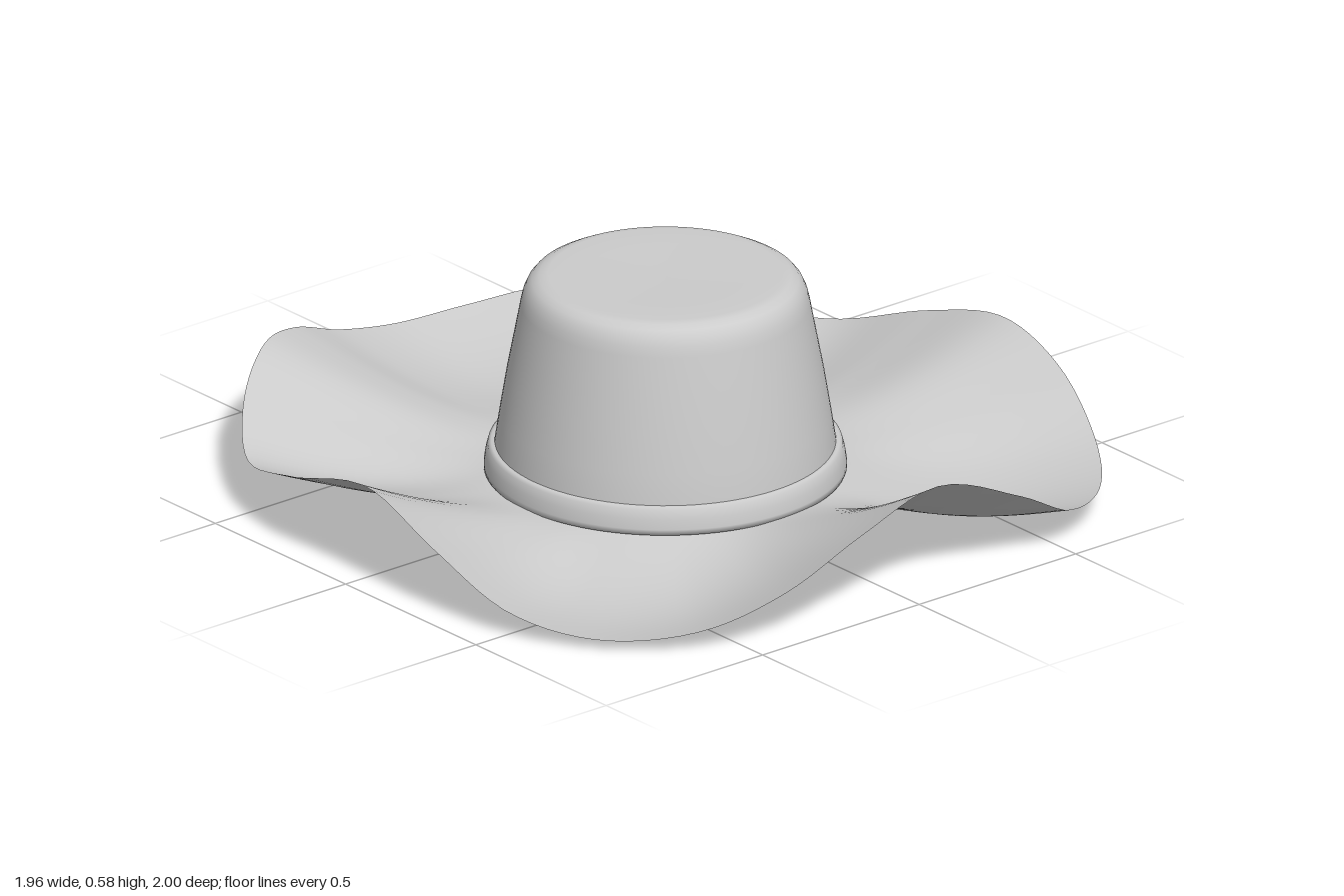
import * as THREE from 'three';

const CX = -0.025, CZ = 0.056; // crown axis

const material = () => new THREE.MeshStandardMaterial({ color: 0xcccccc, side: THREE.DoubleSide });

// Surface of revolution about the crown axis, from smoothed [radius, y] points
function revolve(name, points) {
  const mesh = new THREE.Mesh(
    new THREE.LatheGeometry(points.map(([r, y]) => new THREE.Vector2(r, y)), 96), material());
  mesh.name = name;
  mesh.position.set(CX, 0, CZ);
  return mesh;
}

// Wavy brim: rings run from the crown out to a rounded-square, rolling rim
function makeBrim() {
  const rim = new THREE.CatmullRomCurve3([
    [0.06, 0.302, 1], [0.33, 0.2, 0.99], [0.52, 0.1, 0.955], [0.7, 0.072, 0.85],
    [0.85, 0.095, 0.66], [0.95, 0.185, 0.4], [0.98, 0.23, 0.15], [0.972, 0.16, -0.13],
    [0.91, 0.06, -0.42], [0.78, 0.06, -0.63], [0.6, 0.115, -0.79], [0.42, 0.13, -0.9],
    [0.2, 0.11, -0.975], [0, 0.107, -1], [-0.2, 0.15, -0.978], [-0.4, 0.23, -0.915],
    [-0.56, 0.26, -0.835], [-0.74, 0.21, -0.7], [-0.89, 0.14, -0.51], [-0.965, 0.2, -0.25],
    [-0.98, 0.275, 0.06], [-0.965, 0.18, 0.3], [-0.91, 0.07, 0.52], [-0.79, 0.03, 0.72],
    [-0.6, 0.055, 0.885], [-0.4, 0.13, 0.968], [-0.18, 0.235, 0.998],
  ].map(p => new THREE.Vector3(...p)), true);

  const around = 160, rings = 20, inner = 0.42, innerY = 0.075;
  const positions = [], index = [];
  for (let i = 0; i < around; i++) {
    const p = rim.getPoint(i / around);
    const a = Math.atan2(p.x - CX, p.z - CZ);
    const x0 = CX + inner * Math.sin(a), z0 = CZ + inner * Math.cos(a);
    // low parts of the rim sag between crown and edge
    const sag = 0.052 * THREE.MathUtils.clamp(1 - (p.y - 0.05) / 0.22, 0, 1);
    for (let j = 0; j <= rings; j++) {
      const t = j / rings;
      positions.push(
        THREE.MathUtils.lerp(x0, p.x, t),
        innerY + (p.y - innerY) * t ** 1.4 - sag * Math.sin(Math.PI * t),
        THREE.MathUtils.lerp(z0, p.z, t));
      if (j < rings) {
        const n = rings + 1, k = i * n + j, m = ((i + 1) % around) * n + j;
        index.push(k, k + 1, m + 1, k, m + 1, m);
      }
    }
  }
  const geometry = new THREE.BufferGeometry();
  geometry.setAttribute('position', new THREE.Float32BufferAttribute(positions, 3));
  geometry.setIndex(index);
  geometry.computeVertexNormals();
  const mesh = new THREE.Mesh(geometry, material());
  mesh.name = 'brim';
  return mesh;
}

export function createModel() {
  const group = new THREE.Group();
  group.name = 'hat';

  // Tapered crown with a rounded shoulder and flat top
  group.add(revolve('crown', [
    [0.424, 0.07], [0.42, 0.14], [0.408, 0.22], [0.39, 0.33], [0.371, 0.43], [0.356, 0.51],
    [0.35, 0.535], [0.341, 0.556], [0.328, 0.572], [0.31, 0.581], [0.288, 0.585],
    [0.2, 0.584], [0.1, 0.582], [0, 0.581],
  ]));

  // Raised band around the foot of the crown
  group.add(revolve('band', [
    [0.424, 0.07], [0.446, 0.076], [0.446, 0.09], [0.442, 0.115], [0.436, 0.138], [0.428, 0.144], [0.419, 0.144],
  ]));

  group.add(makeBrim());
  return group;
}
